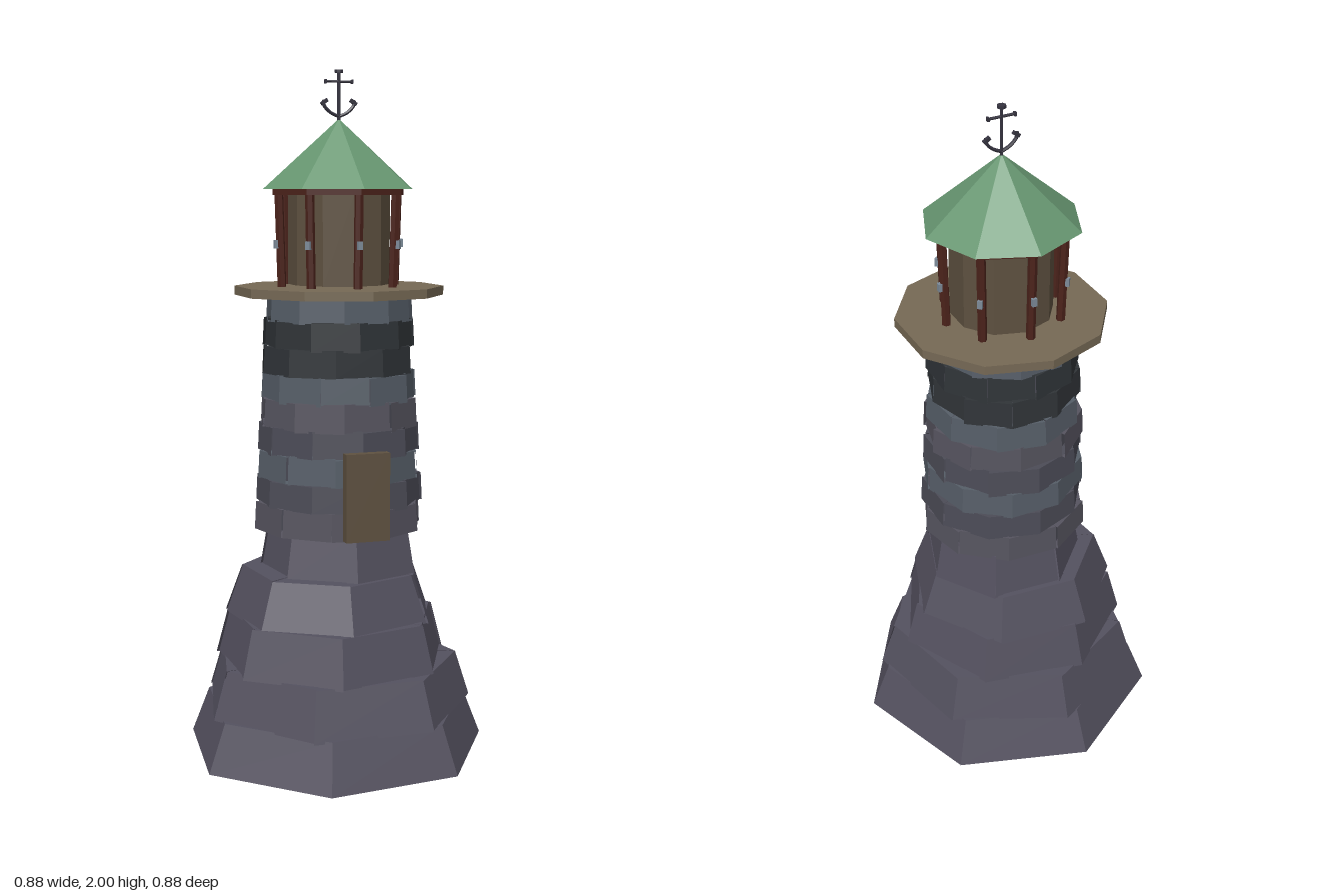
import * as THREE from 'three';

const material = (color) =>
  new THREE.MeshStandardMaterial({ color, flatShading: true, side: THREE.DoubleSide });

const rock = material(0x54515f);
const violetStone = material(0x56545f);
const blueStone = material(0x565e68);
const slateStone = material(0x4c4c57);
const darkStone = material(0x303438);
const wood = material(0x766955);
const doorWood = material(0x5e5140);
const redPaint = material(0x4c231b);
const greenRoof = material(0x669570);
const iron = material(0x35333f);
const glass = material(0x7d8b99);

// Small seeded generator, giving values from -1 to 1
let seed = 11;
const jitter = () => {
  seed = (seed * 16807) % 2147483647;
  return (seed / 2147483647) * 2 - 1;
};

function add(parent, name, geometry, mat, x = 0, y = 0, z = 0) {
  const mesh = new THREE.Mesh(geometry, mat);
  mesh.name = name;
  mesh.position.set(x, y, z);
  parent.add(mesh);
  return mesh;
}

// Prism or frustum standing on y0, with one corner at the given angle from +x towards +z
function frustum(parent, name, mat, n, rBottom, rTop, y0, y1, corner = 0, x = 0, z = 0) {
  const geometry = new THREE.CylinderGeometry(
    rTop, rBottom, y1 - y0, n, 1, false, Math.PI / 2 - THREE.MathUtils.degToRad(corner));
  return add(parent, name, geometry, mat, x, (y0 + y1) / 2, z);
}

// A course of separate wedge-shaped blocks with slightly uneven faces and edges
function course(parent, name, mat, n, rBottom, rTop, y0, y1, corner, x, z, rough, flatBottom = false) {
  const group = new THREE.Group();
  group.name = name;
  group.position.set(x, 0, z);
  const step = (Math.PI * 2) / n;
  const start = Math.PI / 2 - THREE.MathUtils.degToRad(corner);
  for (let i = 0; i < n; i++) {
    const out = jitter() * rough;
    const low = flatBottom ? y0 : y0 - Math.abs(jitter()) * rough;
    const high = y1 + jitter() * rough * 0.4;
    const geometry = new THREE.CylinderGeometry(
      rTop + out, rBottom + out, high - low, 1, 1, false, start + i * step, step);
    add(group, 'block', geometry, mat, 0, (low + high) / 2, 0);
  }
  parent.add(group);
}

export function createModel() {
  const model = new THREE.Group();
  model.name = 'lighthouse';

  // Stepped rock base: bottom radius, top radius, bottom, top, corner angle, x, z
  const tiers = [
    [0.455, 0.4, 0, 0.14, 6.3, -0.012, 0.011],
    [0.408, 0.365, 0.138, 0.275, 12.8, -0.015, 0.005],
    [0.352, 0.315, 0.275, 0.41, 0, -0.02, 0.008],
    [0.315, 0.265, 0.41, 0.545, -6.8, -0.02, -0.005],
    [0.24, 0.215, 0.54, 0.68, -6.8, 0.012, -0.015],
  ];
  tiers.forEach(([rb, rt, y0, y1, corner, x, z], i) =>
    course(model, 'baseTier', rock, 7, rb, rt, y0, y1, corner, x, z, i ? 0.006 : 0.001, i === 0));

  // Tower of nine staggered stone courses around a solid core
  frustum(model, 'towerCore', slateStone, 10, 0.22, 0.19, 0.68, 1.36);
  const stones = [violetStone, slateStone, blueStone, slateStone, violetStone,
    blueStone, darkStone, darkStone, blueStone];
  const height = 0.69 / stones.length;
  stones.forEach((stone, i) => {
    const r = 0.249 - i * 0.004;
    const y = 0.675 + i * height;
    course(model, 'towerCourse', stone, 10, r, r - 0.004, y, y + height,
      (i % 2) * 18 + jitter() * 5, 0, 0.005, 0.006);
  });

  // Door
  add(model, 'door', new THREE.BoxGeometry(0.13, 0.252, 0.03), doorWood, 0, 0.801, 0.26);

  // Gallery and lantern room share one slightly forward axis
  const lantern = new THREE.Group();
  lantern.name = 'lantern';
  lantern.position.z = 0.008;
  model.add(lantern);
  frustum(lantern, 'galleryFloor', wood, 10, 0.305, 0.305, 1.357, 1.383, 90);
  frustum(lantern, 'lanternRoom', doorWood, 10, 0.148, 0.148, 1.388, 1.655, 90);

  // Eight posts, each with a small pane fitting
  for (let i = 0; i < 8; i++) {
    const side = new THREE.Group();
    side.name = 'postUnit';
    side.rotation.y = (i * Math.PI) / 4;
    const post = add(side, 'post', new THREE.CylinderGeometry(0.013, 0.013, 0.285, 6),
      redPaint, 0, 1.52, 0.177);
    post.rotation.x = 0.03;
    add(side, 'fitting', new THREE.BoxGeometry(0.014, 0.024, 0.012), glass, 0, 1.505, 0.19);
    lantern.add(side);
  }

  // Roof with its supporting ring
  frustum(lantern, 'roofRing', redPaint, 8, 0.2, 0.2, 1.645, 1.664);
  add(lantern, 'roof', new THREE.ConeGeometry(0.228, 0.2, 8), greenRoof, 0, 1.762, 0);

  // Anchor finial
  const anchor = new THREE.Group();
  anchor.name = 'anchor';
  lantern.add(anchor);
  frustum(anchor, 'shaft', iron, 6, 0.005, 0.005, 1.85, 1.995);
  frustum(anchor, 'cap', iron, 8, 0.013, 0.013, 1.992, 2);
  const bar = add(anchor, 'crossBar', new THREE.CylinderGeometry(0.004, 0.004, 0.08, 6),
    iron, 0, 1.967, 0);
  bar.rotation.z = Math.PI / 2;
  for (const s of [-1, 1]) {
    const path = new THREE.CatmullRomCurve3([
      new THREE.Vector3(0, 1.868, 0),
      new THREE.Vector3(s * 0.026, 1.88, 0),
      new THREE.Vector3(s * 0.045, 1.9, 0),
      new THREE.Vector3(s * 0.046, 1.915, 0),
    ]);
    add(anchor, 'arm', new THREE.TubeGeometry(path, 8, 0.005, 6), iron);
    const fluke = add(anchor, 'fluke', new THREE.BoxGeometry(0.022, 0.01, 0.01),
      iron, s * 0.044, 1.909, 0);
    fluke.rotation.z = -s * 0.6;
    add(anchor, 'barEnd', new THREE.BoxGeometry(0.006, 0.011, 0.011), iron, s * 0.04, 1.967, 0);
  }
  return model;
}
